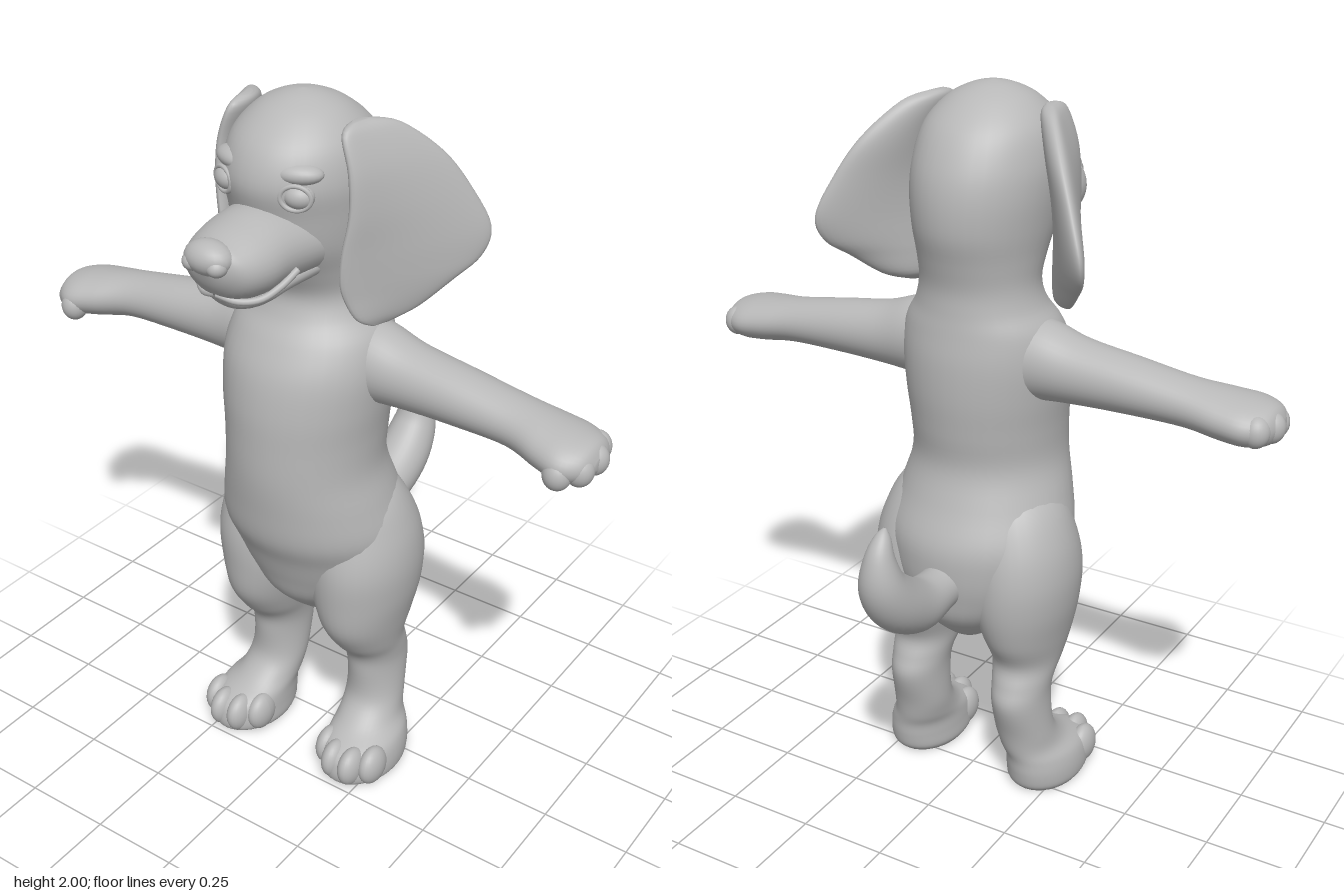
import * as THREE from 'three';

const fur = new THREE.MeshStandardMaterial({ color: 0xb8b8b8 });
fur.name = 'grey fur';
const V = (x, y, z) => new THREE.Vector3(x, y, z);

// Smooth interpolation between rows of cross-section numbers
function smoothRows(rows, steps = 5) {
  const out = [], n = rows.length;
  for (let i = 0; i < n - 1; i++) {
    const a = rows[Math.max(i - 1, 0)], b = rows[i], c = rows[i + 1], d = rows[Math.min(i + 2, n - 1)];
    for (let k = 0; k < steps; k++) {
      const t = k / steps;
      out.push(b.map((p, j) => p + 0.5 * t * (c[j] - a[j]
        + t * (2 * a[j] - 5 * p + 4 * c[j] - d[j] + t * (3 * (p - c[j]) + d[j] - a[j])))));
    }
  }
  out.push(rows[n - 1]);
  return out;
}

// Skin over rings { c, u, v, bow }; u x v points along the advance
function loft(rings, sides = 36) {
  const pos = [], idx = [];
  for (const { c, u, v, bow = 0 } of rings) {
    for (let i = 0; i < sides; i++) {
      const t = i / sides * Math.PI * 2, cu = Math.cos(t);
      const p = c.clone().addScaledVector(u, cu).addScaledVector(v, Math.sin(t) - bow * (1 - cu * cu));
      pos.push(p.x, p.y, p.z);
    }
  }
  for (let r = 0; r < rings.length - 1; r++) {
    for (let i = 0; i < sides; i++) {
      const a = r * sides + i, b = r * sides + (i + 1) % sides;
      idx.push(a, b, b + sides, a, b + sides, a + sides);
    }
  }
  const first = rings[0].c, last = rings[rings.length - 1].c;
  const end = rings.length * sides, top = end - sides;
  pos.push(first.x, first.y, first.z, last.x, last.y, last.z);
  for (let i = 0; i < sides; i++) {
    const j = (i + 1) % sides;
    idx.push(end, j, i, end + 1, top + i, top + j);
  }
  const g = new THREE.BufferGeometry();
  g.setAttribute('position', new THREE.Float32BufferAttribute(pos, 3));
  g.setIndex(idx);
  g.computeVertexNormals();
  return g;
}

const upLoft = rows => loft(smoothRows(rows).map(([x, y, z, rx, rz]) =>
  ({ c: V(x, y, z), u: V(0, 0, rz), v: V(rx, 0, 0) })));
const forwardLoft = rows => loft(smoothRows(rows).map(([y, z, rx, ry]) =>
  ({ c: V(0, y, z), u: V(rx, 0, 0), v: V(0, ry, 0) })));
const ball = (x, y, z, rx, ry, rz, turn = 0) =>
  new THREE.SphereGeometry(1, 24, 16).scale(rx, ry, rz).rotateY(turn).translate(x, y, z);

function mirrored(geo) {
  const g = geo.clone().scale(-1, 1, 1), ix = g.index;
  for (let i = 0; i < ix.count; i += 3) {
    const b = ix.getX(i + 1);
    ix.setX(i + 1, ix.getX(i + 2));
    ix.setX(i + 2, b);
  }
  g.computeVertexNormals();
  return g;
}

export function createModel() {
  const model = new THREE.Group();
  model.name = 'puppy';
  const add = (name, geo) => {
    const m = new THREE.Mesh(geo, fur);
    m.name = name;
    model.add(m);
  };
  const pair = (name, geo) => {
    add('left ' + name, geo);
    add('right ' + name, mirrored(geo));
  };

  // Torso, neck and cranium: y, back z, front z, half width
  add('body and head', upLoft([
    [0.44, 0, 0.06, 0.015], [0.48, -0.08, 0.11, 0.07], [0.56, -0.16, 0.19, 0.16],
    [0.64, -0.185, 0.225, 0.22], [0.72, -0.195, 0.255, 0.25], [0.8, -0.19, 0.29, 0.262],
    [0.9, -0.15, 0.305, 0.24], [1, -0.12, 0.315, 0.215], [1.1, -0.13, 0.315, 0.215],
    [1.2, -0.14, 0.31, 0.225], [1.3, -0.14, 0.29, 0.23], [1.38, -0.13, 0.25, 0.215],
    [1.44, -0.122, 0.21, 0.178], [1.5, -0.12, 0.195, 0.162], [1.57, -0.135, 0.23, 0.167],
    [1.65, -0.155, 0.28, 0.18], [1.74, -0.155, 0.3, 0.19], [1.82, -0.135, 0.315, 0.19],
    [1.9, -0.09, 0.285, 0.168], [1.96, -0.02, 0.22, 0.115], [1.99, 0.045, 0.155, 0.055], [2, 0.095, 0.105, 0.005],
  ].map(([y, b, f, rx]) => [0, y, (b + f) / 2, rx, (f - b) / 2])));

  // Muzzle and jaw: y, z, half width, half height
  add('muzzle', forwardLoft([
    [1.66, 0.18, 0.14, 0.1], [1.668, 0.3, 0.126, 0.1], [1.663, 0.38, 0.12, 0.094],
    [1.665, 0.44, 0.1, 0.078], [1.68, 0.475, 0.068, 0.055], [1.69, 0.495, 0.02, 0.02],
  ]));
  add('lower jaw', forwardLoft([
    [1.6, 0.16, 0.12, 0.05], [1.595, 0.28, 0.105, 0.045], [1.587, 0.36, 0.092, 0.047],
    [1.587, 0.41, 0.066, 0.038], [1.592, 0.435, 0.02, 0.014],
  ]));
  add('nose', ball(0, 1.703, 0.472, 0.065, 0.043, 0.048));
  pair('nostril wing', ball(0.035, 1.692, 0.488, 0.026, 0.024, 0.028));

  // Smiling lip line
  const lip = new THREE.CatmullRomCurve3([
    V(0, 1.6, 0.452), V(0.05, 1.588, 0.436), V(0.09, 1.59, 0.4), V(0.112, 1.61, 0.35), V(0.125, 1.638, 0.3)]);
  pair('lip', new THREE.TubeGeometry(lip, 20, 0.009, 8));

  // Eyes, lids and brows
  pair('eye', ball(0.105, 1.805, 0.264, 0.038, 0.03, 0.03, 0.4));
  pair('eyelid', new THREE.TorusGeometry(0.037, 0.007, 8, 28).scale(1, 0.82, 1)
    .rotateY(0.4).translate(0.105, 1.805, 0.279));
  pair('brow', ball(0.095, 1.855, 0.25, 0.06, 0.026, 0.035, 0.4));

  // Ears: y, front edge x z, back edge x z, half thickness
  pair('ear', loft(smoothRows([
    [1.957, 0.165, 0.13, 0.175, 0.08, 0.01], [1.935, 0.165, 0.175, 0.22, 0.01, 0.028],
    [1.85, 0.19, 0.185, 0.29, -0.075, 0.036], [1.75, 0.195, 0.19, 0.345, -0.125, 0.036],
    [1.65, 0.18, 0.2, 0.385, -0.155, 0.035], [1.58, 0.175, 0.2, 0.375, -0.13, 0.034],
    [1.53, 0.18, 0.19, 0.335, -0.07, 0.032], [1.47, 0.2, 0.165, 0.28, 0, 0.026],
    [1.443, 0.22, 0.125, 0.24, 0.07, 0.008],
  ]).map(([y, xf, zf, xb, zb, th]) => {
    const u = V((xb - xf) / 2, 0, (zb - zf) / 2);
    return { c: V((xf + xb) / 2, y, (zf + zb) / 2), u, v: V(-u.z, 0, u.x).setLength(th), bow: 0.6 };
  })));

  // Arms: x, y, z, half height, half depth
  pair('arm', loft(smoothRows([
    [0.1, 1.3, 0.045, 0.12, 0.11], [0.2, 1.302, 0.045, 0.108, 0.1], [0.3, 1.29, 0.045, 0.089, 0.088],
    [0.45, 1.28, 0.047, 0.075, 0.082], [0.6, 1.267, 0.05, 0.063, 0.08], [0.7, 1.253, 0.062, 0.063, 0.1],
    [0.77, 1.245, 0.07, 0.06, 0.108], [0.82, 1.243, 0.07, 0.046, 0.078], [0.84, 1.243, 0.07, 0.015, 0.03],
  ]).map(([x, y, z, ry, rz]) => ({ c: V(x, y, z), u: V(0, ry, 0), v: V(0, 0, rz) }))));
  [[0.765, 1.225, 0.15], [0.805, 1.232, 0.115], [0.815, 1.24, 0.06], [0.795, 1.242, 0.008]]
    .forEach(([x, y, z]) => pair('finger', ball(x, y, z, 0.037, 0.042, 0.037)));

  // Legs and feet: x, y, z, half width, half depth
  pair('leg', upLoft([
    [0.2, 0, 0.09, 0.095, 0.13], [0.2, 0.02, 0.095, 0.106, 0.152], [0.2, 0.06, 0.092, 0.106, 0.157],
    [0.195, 0.1, 0.08, 0.1, 0.148], [0.18, 0.14, 0.035, 0.086, 0.112], [0.172, 0.2, 0, 0.082, 0.09],
    [0.168, 0.3, -0.015, 0.078, 0.105], [0.166, 0.36, -0.002, 0.083, 0.104], [0.163, 0.42, 0.03, 0.095, 0.12],
    [0.16, 0.5, 0.035, 0.115, 0.163], [0.155, 0.6, 0.03, 0.14, 0.183], [0.155, 0.7, 0.03, 0.145, 0.185],
    [0.14, 0.8, 0.03, 0.142, 0.165], [0.11, 0.9, 0.04, 0.125, 0.13], [0.09, 0.98, 0.04, 0.05, 0.05],
  ]));
  [[0.125, 0.165], [0.172, 0.205], [0.23, 0.208], [0.276, 0.17]]
    .forEach(([x, z]) => pair('toe', ball(x, 0.064, z, 0.034, 0.058, 0.055)));

  // Upturned tail: y, z, radius
  const tail = smoothRows([
    [0.69, -0.1, 0.065], [0.675, -0.2, 0.063], [0.68, -0.3, 0.074], [0.735, -0.395, 0.076],
    [0.81, -0.452, 0.064], [0.89, -0.462, 0.042], [0.945, -0.445, 0.022], [0.967, -0.434, 0.004],
  ]);
  add('tail', loft(tail.map(([y, z, r], i) => {
    const a = tail[Math.max(i - 1, 0)], b = tail[Math.min(i + 1, tail.length - 1)];
    const dir = V(0, b[0] - a[0], b[1] - a[1]).normalize(), u = V(r, 0, 0);
    return { c: V(0, y, z), u, v: dir.cross(u) };
  })));

  return model;
}
